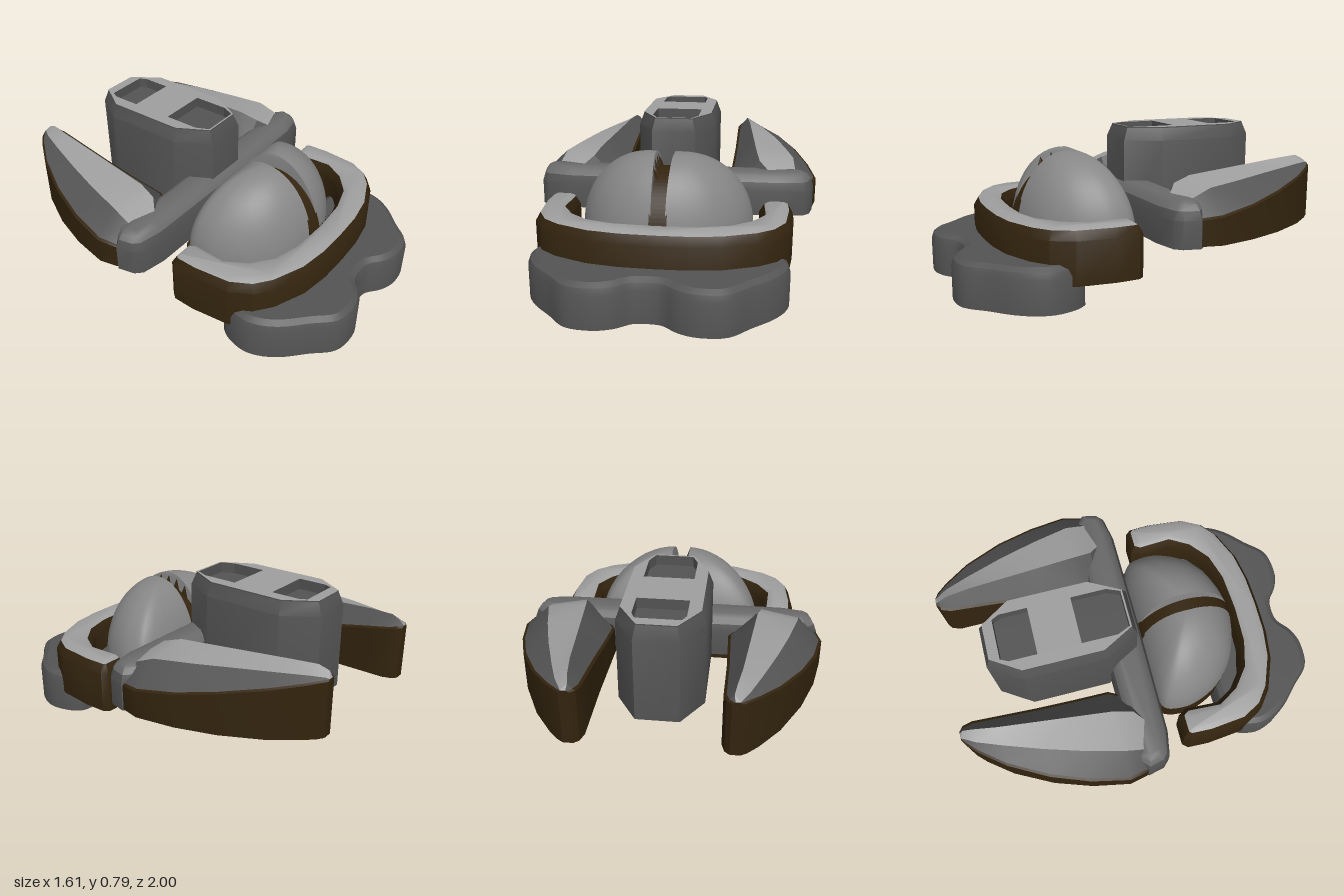
import * as THREE from 'three';
import { toCreasedNormals } from 'three/addons/utils/BufferGeometryUtils.js';

const material = (name, color) => Object.assign(new THREE.MeshStandardMaterial({ color }), { name });

// Outlines are lists of [x, z], running from the front round the +x side to the back.
const mirror = half => [...half, ...half.filter(p => p[0] > 0.001).reverse().map(([x, z]) => [-x, z])];
const smooth = (pts, n) =>
  new THREE.SplineCurve(pts.map(p => new THREE.Vector2(...p))).getPoints(n).map(p => [p.x, p.y]);

// Moves an outline inward by d, mitring the corners.
function inset(outline, d) {
  const n = outline.length;
  return outline.map((p, i) => {
    const a = outline[(i + n - 1) % n], b = outline[(i + 1) % n];
    const normal = (s, e) => new THREE.Vector2(e[1] - s[1], s[0] - e[0]).normalize();
    const n1 = normal(a, p), n2 = normal(p, b);
    const m = n1.clone().add(n2).normalize();
    const k = d / Math.max(0.5, m.dot(n1));
    return [p[0] + m.x * k, p[1] + m.y * k];
  });
}

function finish(positions, crease = 0.6) {
  const g = new THREE.BufferGeometry();
  g.setAttribute('position', new THREE.Float32BufferAttribute(positions, 3));
  return toCreasedNormals(g, crease);
}

// Joins stacked outlines ({ pts, y }) from bottom to top, with optional caps.
function stack(rings, { top = true, bottom = true } = {}) {
  const out = [];
  const put = (r, i) => out.push(r.pts[i][0], r.y, r.pts[i][1]);
  for (let k = 0; k + 1 < rings.length; k++) {
    const lo = rings[k], hi = rings[k + 1], n = lo.pts.length;
    for (let i = 0; i < n; i++) {
      const j = (i + 1) % n;
      put(lo, i); put(lo, j); put(hi, j);
      put(lo, i); put(hi, j); put(hi, i);
    }
  }
  const cap = (r, up) => {
    const flat = r.pts.map(([x, z]) => new THREE.Vector2(x, -z));
    for (const [a, b, c] of THREE.ShapeUtils.triangulateShape(flat, [])) {
      put(r, a); put(r, up ? b : c); put(r, up ? c : b);
    }
  };
  if (top) cap(rings[rings.length - 1], true);
  if (bottom) cap(rings[0], false);
  return finish(out);
}
const slab = (outline, levels, caps) =>
  stack(levels.map(([d, y]) => ({ pts: d ? inset(outline, d) : outline, y })), caps);

// Joins chosen lengthwise bands of a row of cross-sections.
function loft(sections, bands, side) {
  const out = [];
  for (let r = 0; r + 1 < sections.length; r++) {
    for (const k of bands) {
      const s = sections[r], t = sections[r + 1], l = (k + 1) % s.length;
      const q = [s[k], s[l], t[l], t[k]];
      for (const i of side > 0 ? [0, 1, 2, 0, 2, 3] : [0, 2, 1, 0, 3, 2]) {
        out.push(q[i][0] * side, q[i][1], q[i][2]);
      }
    }
  }
  return finish(out, 0.5);
}

const shapeOf = outline => new THREE.Shape(outline.map(([x, z]) => new THREE.Vector2(x, -z)));

export function createModel() {
  const model = new THREE.Group();
  const brown = material('dark brown', 0x33240e);
  const dark = material('dark grey', 0x545454);
  const middle = material('middle grey', 0x6a6a6a);
  const dome = material('dome grey', 0x868686);
  const light = material('light grey', 0x9f9f9f);
  const add = (name, geometry, mat) => {
    const mesh = new THREE.Mesh(geometry, mat);
    mesh.name = name;
    model.add(mesh);
    return mesh;
  };

  // Two-lobed front foot
  const foot = mirror(smooth([[0, 0.9], [0.07, 0.91], [0.15, 0.97], [0.25, 1], [0.38, 0.98], [0.48, 0.88],
    [0.58, 0.78], [0.64, 0.68], [0.655, 0.58], [0.61, 0.46], [0.5, 0.42], [0, 0.42]], 44));
  add('frontFoot', slab(foot, [[0, 0], [0, 0.17], [0.012, 0.205], [0.04, 0.225]]), dark);

  // U-shaped collar with a pale top
  const collar = mirror([[0, 0.78], [0.17, 0.775], [0.33, 0.75], [0.5, 0.68], [0.59, 0.61], [0.65, 0.5], [0.67, 0.3],
    [0.665, 0.18], [0.64, 0.15], [0.52, 0.15], [0.49, 0.2], [0.5, 0.38], [0.44, 0.48], [0.34, 0.56], [0.2, 0.6], [0, 0.61]]);
  add('collar', slab(collar, [[0, 0.12], [0, 0.34], [0.025, 0.385]], { top: false }), brown);
  add('collarTop', slab(collar, [[0.025, 0.385], [0.05, 0.398]], { bottom: false }), light);

  // Split dome on a brown seat
  const halfDome = [...smooth([[0.035, 0.605], [0.15, 0.58], [0.28, 0.52], [0.39, 0.41], [0.45, 0.28],
    [0.46, 0.18], [0.43, 0.09], [0.3, 0.06]], 24), [0.035, 0.06]];
  const seat = mirror(halfDome.map(([x, z]) => [x, z < 0.1 ? z - 0.02 : z]));
  add('domeSeat', slab(seat, [[0, 0.12], [0, 0.26]]), brown);
  for (const side of [1, -1]) {
    const rings = [];
    for (let i = 0; i <= 14; i++) {
      const a = (i / 14) * 1.5, c = Math.cos(a);
      let pts = halfDome.map(([x, z]) => [side * (0.05 + (x - 0.05) * c), 0.31 + (z - 0.31) * c]);
      if (side < 0) pts = pts.reverse();
      rings.push({ pts, y: 0.26 + 0.42 * Math.sin(a) });
    }
    add(side > 0 ? 'leftDome' : 'rightDome', stack(rings), dome);
  }

  // Arched strip in the gap, with small teeth rising along its right edge
  const arch = new THREE.Shape();
  arch.absellipse(-0.33, 0.26, 0.285, 0.345, 0, Math.PI, false);
  const strip = new THREE.ExtrudeGeometry(arch, { depth: 0.09, bevelEnabled: false, curveSegments: 24 });
  strip.rotateY(Math.PI / 2).translate(-0.045, 0, 0);
  add('domeGapStrip', strip, brown);
  for (let i = 0; i < 5; i++) {
    const z = 0.2 + i * 0.06;
    const tooth = add('gapTooth', new THREE.ConeGeometry(0.03, 0.08, 4), brown);
    tooth.scale.x = 0.5;
    tooth.rotation.z = 0.15;
    tooth.position.set(-0.038, 0.28 + 0.345 * Math.sqrt(1 - ((z - 0.33) / 0.285) ** 2), z);
  }

  // Crossbar
  const bar = mirror([[0, 0.065], [0.6, 0.06], [0.73, 0.035], [0.765, 0], [0.785, -0.09], [0.72, -0.15], [0, -0.16]]);
  add('crossbar', slab(bar, [[0, 0.27], [0, 0.41], [0.015, 0.455]], { top: false }), dark);
  add('crossbarTop', slab(bar, [[0.015, 0.455], [0.035, 0.485], [0.06, 0.5]], { bottom: false }), middle);

  // Tower with two sunken windows in its deck
  const tower = mirror([[0, 0.015], [0.12, 0.015], [0.22, -0.17], [0.22, -0.61], [0.11, -0.78], [0, -0.78]]);
  add('tower', slab(tower, [[0, 0.27], [0, 0.72], [0.025, 0.787]], { top: false }), dark);
  const deckOutline = inset(tower, 0.025);
  const deck = shapeOf(deckOutline);
  deck.holes = [
    [[0.1, -0.02], [0.13, -0.09], [0.13, -0.28], [-0.13, -0.28], [-0.13, -0.09], [-0.1, -0.02]],
    [[0.13, -0.51], [0.13, -0.66], [0.11, -0.7], [-0.11, -0.7], [-0.13, -0.66], [-0.13, -0.51]],
  ].map(shapeOf);
  const deckGeometry = new THREE.ExtrudeGeometry(deck, { depth: 0.06, bevelEnabled: false });
  add('towerDeck', deckGeometry.rotateX(-Math.PI / 2).translate(0, 0.733, 0), [light, dark]);
  const floor = new THREE.ShapeGeometry(shapeOf(inset(tower, 0.03)));
  add('windowFloor', floor.rotateX(-Math.PI / 2).translate(0, 0.737, 0), dark);

  // Swept wings: z, inner x, outer x, wall top, strip inner x, strip outer x, strip inner y, strip outer y
  const sections = [
    [-0.03, 0.59, 0.59, 0.40, 0.59, 0.59, 0.45, 0.45],
    [-0.04, 0.46, 0.74, 0.40, 0.54, 0.66, 0.49, 0.48],
    [-0.1, 0.36, 0.785, 0.41, 0.48, 0.68, 0.54, 0.50],
    [-0.2, 0.31, 0.805, 0.42, 0.46, 0.67, 0.57, 0.54],
    [-0.4, 0.315, 0.765, 0.45, 0.44, 0.62, 0.585, 0.555],
    [-0.6, 0.32, 0.695, 0.49, 0.42, 0.56, 0.60, 0.57],
    [-0.8, 0.32, 0.59, 0.53, 0.40, 0.49, 0.615, 0.58],
    [-0.93, 0.32, 0.49, 0.555, 0.38, 0.44, 0.62, 0.585],
    [-0.98, 0.335, 0.44, 0.565, 0.37, 0.41, 0.60, 0.58],
    [-1, 0.36, 0.41, 0.565, 0.375, 0.40, 0.575, 0.575],
    [-1, 0.385, 0.385, 0.565, 0.385, 0.385, 0.575, 0.575],
  ].map(([z, xi, xo, yb, si, so, yi, yo]) => {
    const lip = Math.min(0.014, (xo - xi) / 5);
    return [[xi, 0.28, z], [xi, yb, z], [xi + lip, yb + 0.008, z], [si, yi, z],
      [so, yo, z], [xo - lip, yb + 0.008, z], [xo, yb, z], [xo, 0.28, z]];
  });
  for (const side of [1, -1]) {
    const name = side > 0 ? 'leftWing' : 'rightWing';
    add(name + 'Wall', loft(sections, [0, 1, 5, 6, 7], side), brown);
    add(name + 'Slopes', loft(sections, [2, 4], side), dark);
    add(name + 'Strip', loft(sections, [3], side), light);
  }
  return model;
}
